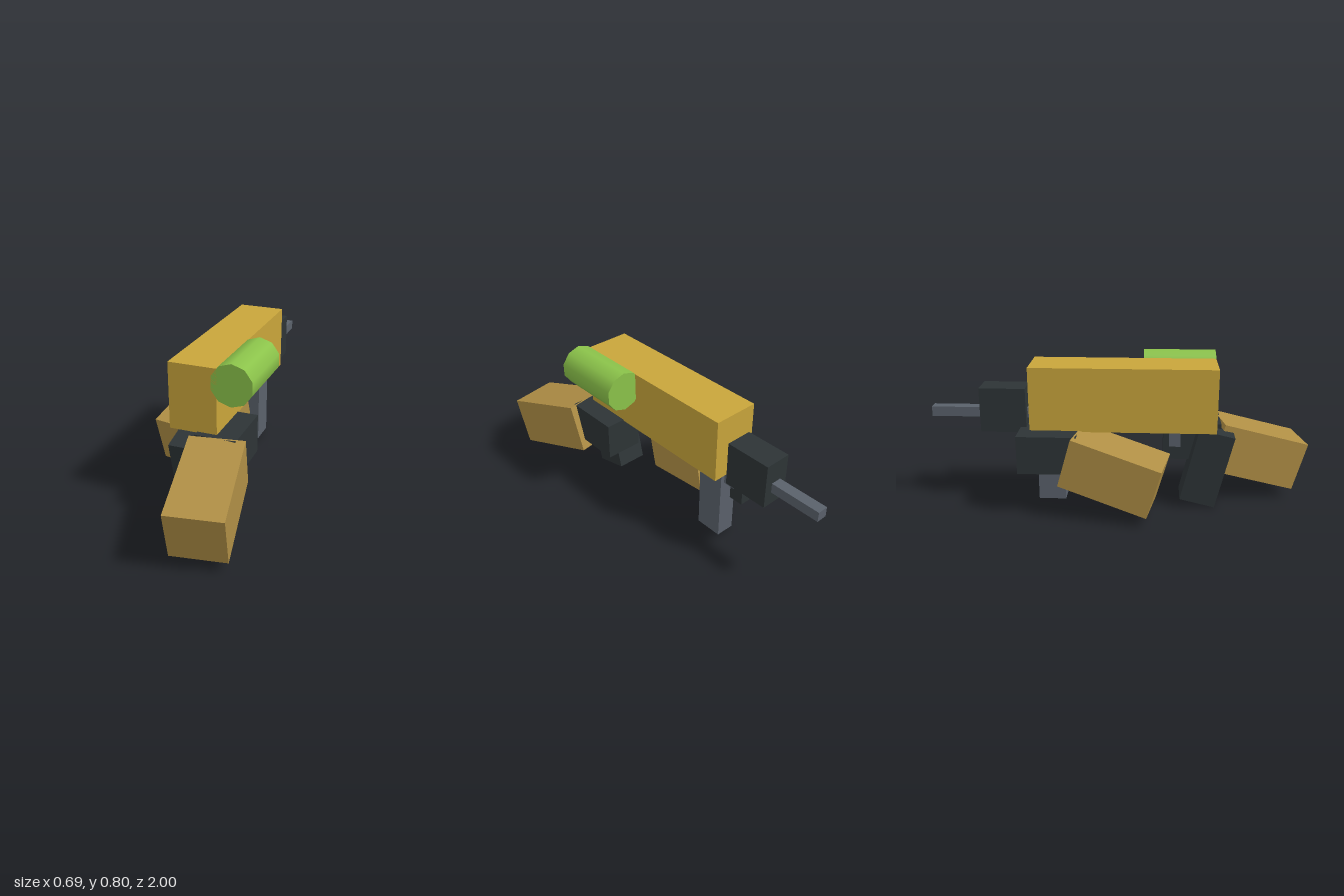
import * as THREE from 'three';

const mat = (name, color) => {
  const m = new THREE.MeshStandardMaterial({ color });
  m.name = name;
  return m;
};

export function createModel() {
  const group = new THREE.Group();
  const gold = mat('gold', 0xc9a53b);
  const tan = mat('tan sleeve', 0xb08f45);
  const dark = mat('charcoal', 0x2d3436);
  const steel = mat('steel grey', 0x5a616b);
  const green = mat('green', 0x8bc34a);

  // box given by its size and centre
  const box = (name, material, size, centre) => {
    const mesh = new THREE.Mesh(new THREE.BoxGeometry(...size), material);
    mesh.name = name;
    mesh.position.set(...centre);
    group.add(mesh);
    return mesh;
  };

  // main housing
  box('body', gold, [0.24, 0.335, 0.96], [0, 0.597, 0.01]);

  // muzzle block and barrel
  box('muzzle', dark, [0.14, 0.235, 0.24], [0, 0.523, -0.615]);
  box('barrel', steel, [0.056, 0.052, 0.54], [0, 0.5, -0.73]);

  // parts below the housing
  box('foregrip', steel, [0.1, 0.41, 0.145], [0, 0.225, -0.3725]);
  box('lowerRail', steel, [0.056, 0.075, 0.23], [0, 0.393, -0.395]);
  box('trigger', steel, [0.04, 0.11, 0.06], [0, 0.375, 0.28]);
  const grip = box('grip', dark, [0.164, 0.403, 0.19], [0, 0.219, 0.45]);
  grip.rotation.x = 0.235;

  // canister on the left side
  const canister = new THREE.Mesh(new THREE.CylinderGeometry(0.105, 0.105, 0.38, 10), green);
  canister.name = 'canister';
  canister.rotation.x = Math.PI / 2;
  canister.position.set(0.191, 0.692, 0.3);
  group.add(canister);

  // mirrored hands and forearms, the right pair set further back
  for (const [side, s, shift] of [['left', 1, 0], ['right', -1, -0.744]]) {
    box(side + 'Hand', dark, [0.204, 0.2, 0.305], [s * 0.123, 0.335, 0.372 + shift]);
    const arm = box(side + 'Forearm', tan, [0.268, 0.265, 0.48], [s * 0.168, 0.2435, 0.7135 + shift]);
    arm.rotation.set(0.28, s * 0.175, 0, 'YXZ');
  }
  return group;
}
